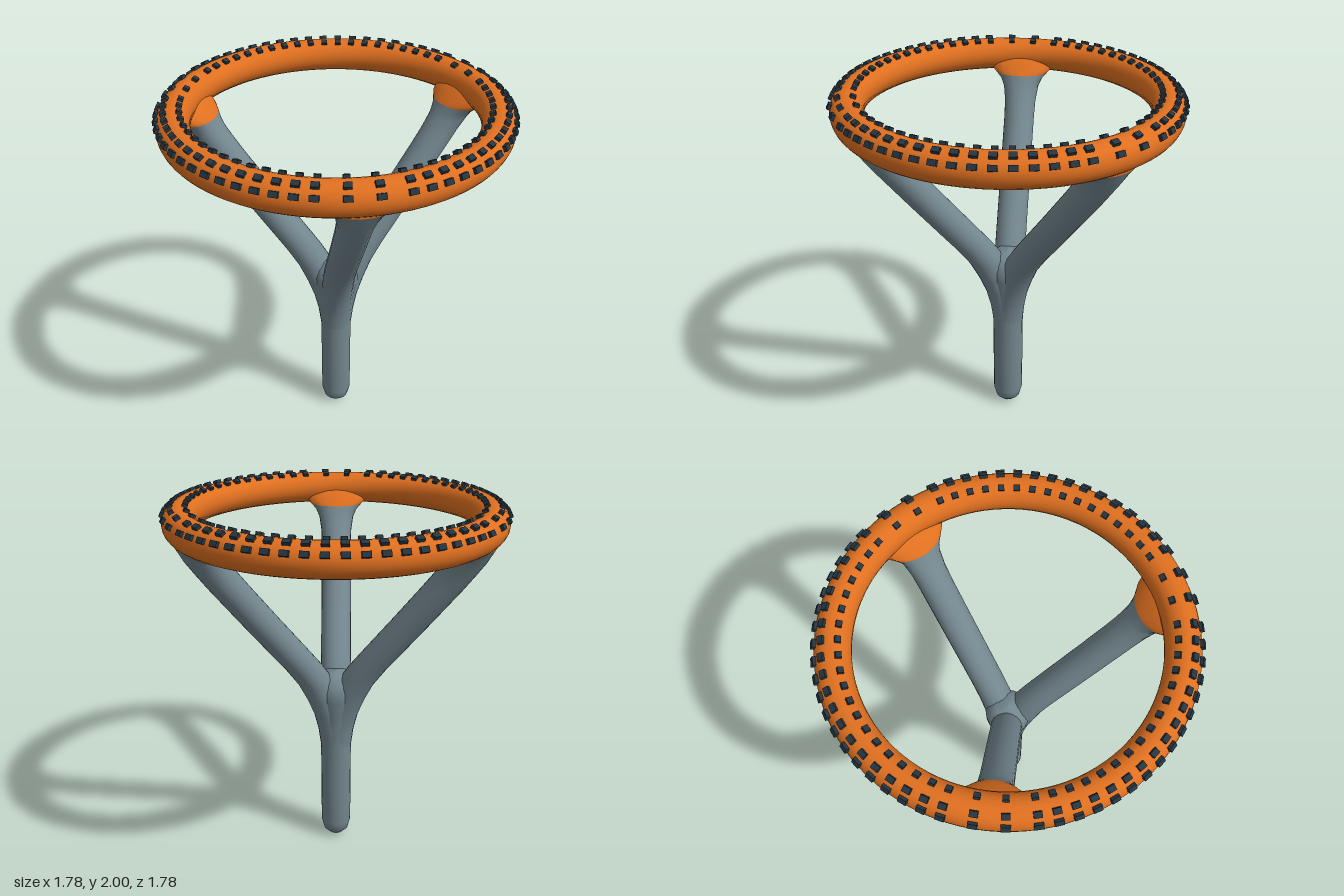
import * as THREE from 'three';

const RING_R = 0.795, TUBE_R = 0.085, RING_Y = 1.905;
const ARM_ANGLE = THREE.MathUtils.degToRad(112);

// Skin over horizontal ellipses: [y, z centre, half width in x, half depth in z]
function loft(sections, sides = 20) {
  const pos = [], index = [];
  for (const [y, c, hx, hz] of sections)
    for (let j = 0; j < sides; j++) {
      const a = (j / sides) * Math.PI * 2;
      pos.push(Math.cos(a) * hx, y, c + Math.sin(a) * hz);
    }
  for (let i = 0; i < sections.length - 1; i++)
    for (let j = 0; j < sides; j++) {
      const k = (j + 1) % sides;
      const a = i * sides + j, b = i * sides + k, c = a + sides, d = b + sides;
      index.push(a, c, b, b, c, d);
    }
  const g = new THREE.BufferGeometry();
  g.setAttribute('position', new THREE.Float32BufferAttribute(pos, 3));
  g.setIndex(index);
  g.computeVertexNormals();
  return g;
}

// Stud angles from one joint to the next, spaced wider beside the joints
function sectorAngles(from, to, count) {
  const wide = [0.08, 0.24];
  const angles = [from + wide[0], to - wide[0]];
  for (let i = 0; i < count; i++)
    angles.push(THREE.MathUtils.lerp(from + wide[1], to - wide[1], i / (count - 1)));
  return angles;
}

export function createModel() {
  const grey = new THREE.MeshStandardMaterial({ color: 0x74878f });
  grey.name = 'slate grey';
  const orange = new THREE.MeshStandardMaterial({ color: 0xe07020 });
  orange.name = 'orange';
  const dark = new THREE.MeshStandardMaterial({ color: 0x263540 });
  dark.name = 'dark navy';

  const model = new THREE.Group();
  const add = (parent, name, geometry, material) => {
    const mesh = new THREE.Mesh(geometry, material);
    mesh.name = name;
    parent.add(mesh);
    return mesh;
  };

  // Trunk with rounded foot, swelling into the fork
  const profile = [
    [0, 0.005], [0.04, 0.015], [0.07, 0.045], [0.084, 0.1], [0.085, 0.35], [0.085, 0.58], [0.092, 0.7],
    [0.105, 0.8], [0.122, 0.9], [0.125, 0.95], [0.11, 1.0], [0.07, 1.04], [0, 1.055],
  ].map(([r, y]) => new THREE.Vector2(r, y));
  add(model, 'trunk', new THREE.LatheGeometry(profile, 20), grey);

  // Three arms with collars under the ring
  const armGeometry = loft([
    [0.5, 0, 0.08, 0.08], [0.6, 0.002, 0.084, 0.084], [0.7, 0.014, 0.085, 0.086],
    [0.8, 0.035, 0.086, 0.09], [0.9, 0.068, 0.087, 0.098], [1.0, 0.115, 0.086, 0.102],
    [1.1, 0.185, 0.085, 0.104], [1.2, 0.265, 0.085, 0.105], [1.4, 0.425, 0.085, 0.105],
    [1.6, 0.582, 0.085, 0.105], [1.68, 0.642, 0.088, 0.104], [1.75, 0.694, 0.1, 0.102],
    [1.79, 0.718, 0.12, 0.1], [1.82, 0.735, 0.15, 0.1],
  ]);
  const collarGeometry = loft([
    [1.82, 0.735, 0.15, 0.1], [1.84, 0.742, 0.17, 0.092], [1.87, 0.755, 0.18, 0.075],
    [1.9, 0.77, 0.17, 0.06], [1.93, 0.79, 0.12, 0.04],
  ]);
  const arms = { frontArm: 0, leftArm: ARM_ANGLE, rightArm: -ARM_ANGLE };
  for (const [name, angle] of Object.entries(arms)) {
    const arm = new THREE.Group();
    arm.name = name;
    arm.rotation.y = angle;
    add(arm, 'armTube', armGeometry, grey);
    add(arm, 'ringCollar', collarGeometry, orange);
    model.add(arm);
  }

  // Ring
  const ringGeometry = new THREE.TorusGeometry(RING_R, TUBE_R, 24, 96).rotateX(Math.PI / 2);
  add(model, 'ring', ringGeometry, orange).position.y = RING_Y;

  // Three rows of studs on the upper half of the ring
  const studs = new THREE.Group();
  studs.name = 'studs';
  model.add(studs);
  const angles = [
    ...sectorAngles(0, ARM_ANGLE, 16),
    ...sectorAngles(ARM_ANGLE, Math.PI * 2 - ARM_ANGLE, 20),
    ...sectorAngles(-ARM_ANGLE, 0, 16),
  ];
  const rows = [
    { name: 'outerStud', tilt: 28, width: 0.042 },
    { name: 'topStud', tilt: 64, width: 0.038 },
    { name: 'innerStud', tilt: 114, width: 0.03 },
  ];
  for (const { name, tilt, width } of rows) {
    const t = THREE.MathUtils.degToRad(tilt);
    const geometry = new THREE.BoxGeometry(width, 0.028, 0.03)
      .translate(0, 0, TUBE_R)
      .rotateX(-t)
      .translate(0, RING_Y, RING_R);
    for (const a of angles) add(studs, name, geometry, dark).rotation.y = a;
  }

  return model;
}
